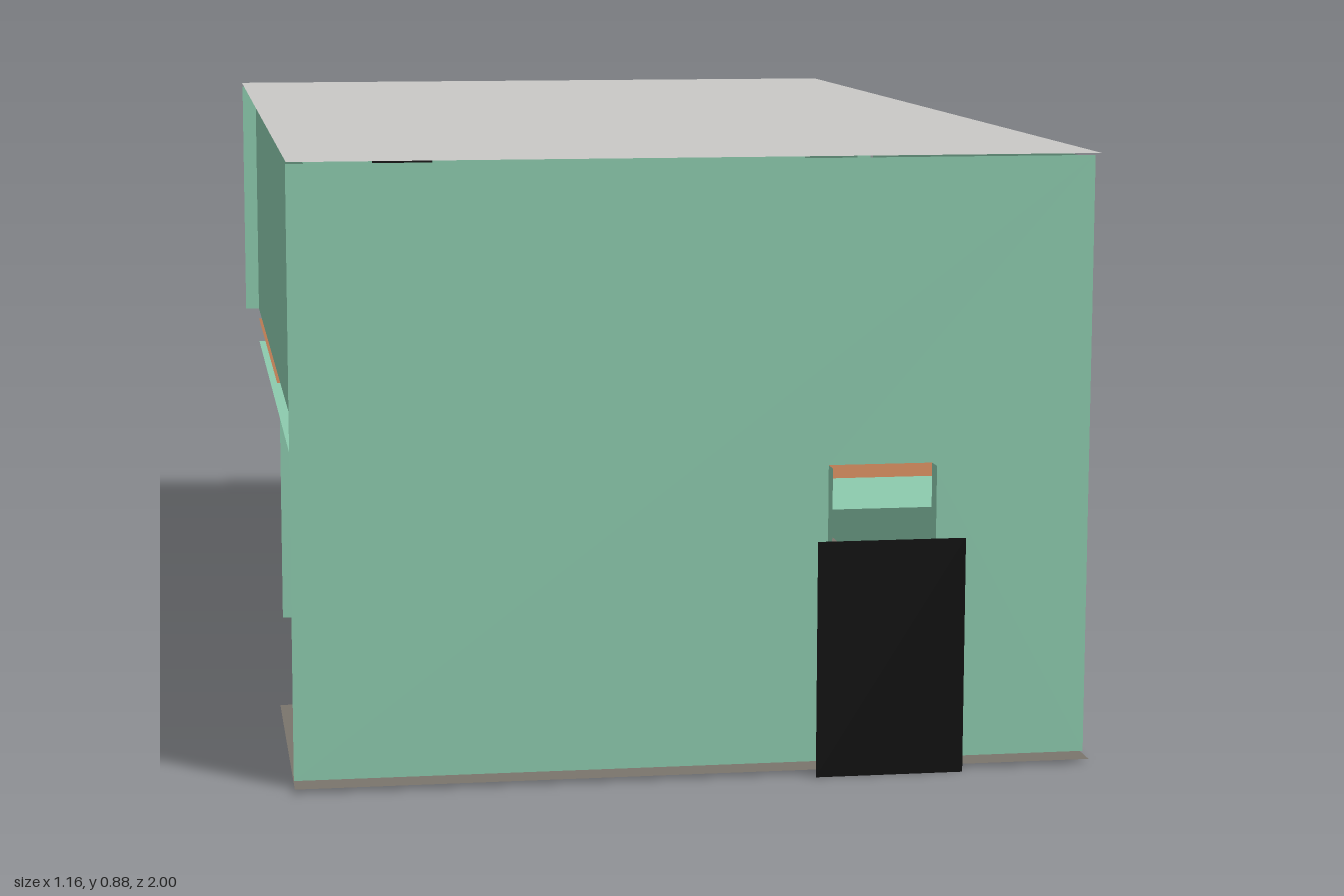
import * as THREE from 'three';

const mat = (name, color, side = THREE.DoubleSide) => {
  const m = new THREE.MeshStandardMaterial({ color, side });
  m.name = name;
  return m;
};

export function createModel() {
  const house = new THREE.Group();
  house.name = 'house';
  const green = mat('wall green', 0x8ccaad);
  const roofGrey = mat('roof grey', 0xc9c8c6);
  const floorGrey = mat('floor grey', 0x7a756c);
  const wood = mat('wood brown', 0xb97a52);
  const black = mat('door black', 0x0d0d0d);
  const frame = mat('window frame pale', 0xd8ccc8);

  const add = (name, geo, m) => {
    const mesh = new THREE.Mesh(geo, m);
    mesh.name = name;
    house.add(mesh);
    return mesh;
  };
  const outline = (pts) => new THREE.Shape(pts.map(([a, b]) => new THREE.Vector2(a, b)));
  const rect = (a0, b0, a1, b1) => [[a0, b0], [a1, b0], [a1, b1], [a0, b1]];

  // Thin panels: points are (x, y) at a z, (z, y) at an x, or (x, z) at a y
  const panelZ = (name, z, pts, m = green) =>
    add(name, new THREE.ShapeGeometry(outline(pts)).translate(0, 0, z), m);
  const panelX = (name, x, pts, m = green) =>
    add(name, new THREE.ShapeGeometry(outline(pts)).rotateY(-Math.PI / 2).translate(x, 0, 0), m);
  const panelY = (name, y, pts, m) =>
    add(name, new THREE.ShapeGeometry(outline(pts)).rotateX(Math.PI / 2).translate(0, y, 0), m);

  const top = 0.875, base = 0.01, mid = 0.44;
  const upper = 0.42, ceiling = 0.375;

  // Roof and ground floor with the open corner left out
  panelY('roof', 0.88, rect(-0.58, -0.98, 0.56, 0.98), roofGrey);
  panelY('groundFloor', 0.006, [
    [-0.58, 0.98], [0.56, 0.98], [0.56, -0.98], [-0.2, -0.98], [-0.2, 0.5], [-0.58, 0.5],
  ], floorGrey);

  // Outer walls with doorways cut one storey high
  panelZ('frontWall', 0.95, [
    [-0.58, base], [0.18, base], [0.18, mid], [0.33, mid], [0.33, base],
    [0.56, base], [0.56, top], [-0.58, top],
  ]);
  panelZ('backWall', -0.945, [
    [0.56, base], [0.56, top], [-0.21, top], [-0.21, mid], [-0.33, mid], [-0.33, top],
    [-0.58, top], [-0.58, mid], [-0.34, mid], [-0.34, base],
  ]);
  panelX('leftWall', 0.535, [
    [-0.945, base], [0.95, base], [0.95, top], [-0.34, top], [-0.34, mid],
    [-0.47, mid], [-0.47, top], [-0.945, top],
  ]);
  panelX('rightWall', -0.555, [
    [-0.945, mid], [0.48, mid], [0.48, base], [0.95, base], [0.95, top], [-0.945, top],
  ]);

  // Upper floor and the ceiling below it, both open over the stairs
  panelY('upperFloor', upper, [
    [-0.555, -0.945], [0.53, -0.945], [0.53, 0.945], [-0.19, 0.945], [-0.19, -0.08], [-0.555, -0.08],
  ], wood);
  const ceilingShape = outline(rect(-0.555, -0.945, 0.53, 0.945));
  ceilingShape.holes.push(new THREE.Path(outline(rect(-0.51, -0.04, -0.19, 0.48)).getPoints()));
  add('ceiling', new THREE.ShapeGeometry(ceilingShape).rotateX(Math.PI / 2).translate(0, ceiling, 0), green);

  // Inner walls around the stairs
  panelX('innerWall', -0.19, rect(-0.945, base, 0.48, ceiling));
  panelX('stairOuterWall', -0.51, rect(-0.04, base, 0.5, ceiling));
  panelZ('stairEndWall', -0.04, rect(-0.51, base, -0.19, ceiling));
  panelZ('porchPost', -0.115, rect(-0.55, 0.005, -0.505, ceiling));

  // Stair treads rising towards the back
  for (let i = 0; i < 8; i++) {
    const z = 0.51 - i * 0.069;
    panelY('stairTread', 0.025 + i * 0.054, rect(-0.51, z - 0.069, -0.2, z), wood);
  }

  // Doorway reveals
  for (const x of [0.18, 0.33]) panelX('frontJamb', x, rect(0.95, base, 0.978, mid));
  for (const x of [-0.21, -0.33]) panelX('backJamb', x, rect(-0.975, mid, -0.945, top));
  for (const z of [-0.34, -0.47]) panelZ('leftJamb', z, rect(0.535, mid, 0.56, top));
  panelY('backSill', mid, rect(-0.33, -0.975, -0.21, -0.945), green);
  panelY('leftSill', mid, rect(0.535, -0.47, 0.56, -0.34), green);

  // Doors standing just proud of the doorways
  panelZ('frontDoor', 1.0, rect(0.155, 0, 0.368, 0.34), black);
  panelZ('backDoor', -1.0, rect(-0.375, 0.41, -0.19, 0.73), black);
  panelX('leftDoor', 0.58, rect(-0.5, 0.41, -0.31, 0.73), black);

  // Window frame with two panes
  const win = outline(rect(-0.882, 0.489, -0.618, 0.776));
  for (const z0 of [-0.874, -0.746]) {
    win.holes.push(new THREE.Path(outline(rect(z0, 0.497, z0 + 0.12, 0.768)).getPoints()));
  }
  add('windowFrame', new THREE.ShapeGeometry(win).rotateY(-Math.PI / 2).translate(0.539, 0, 0), frame);

  return house;
}
